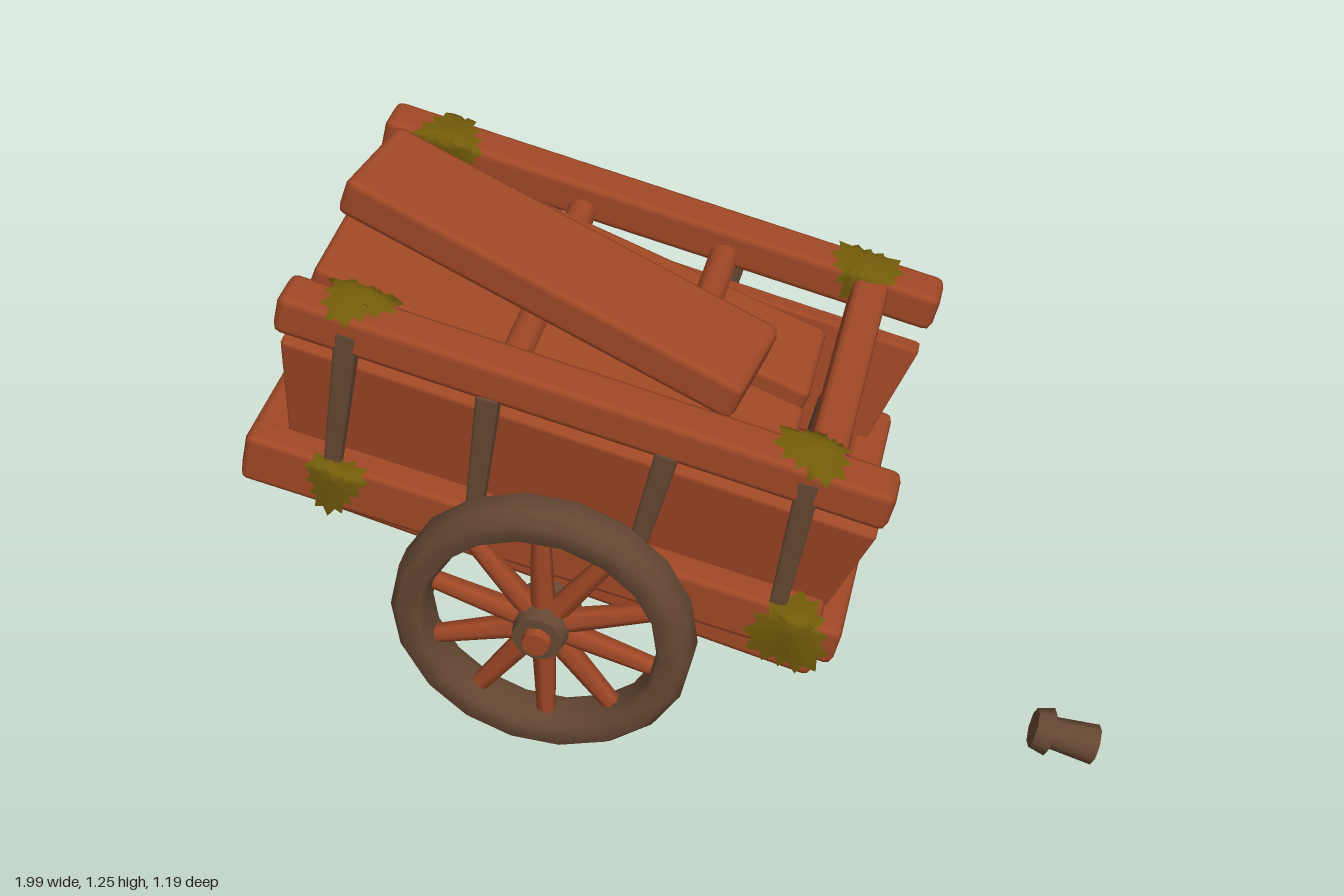
import * as THREE from 'three';
import { RoundedBoxGeometry } from 'three/addons/geometries/RoundedBoxGeometry.js';

export function createModel() {
  const wood = new THREE.MeshStandardMaterial({ color: 0xa04826 });
  wood.name = 'red brown wood';
  const oak = new THREE.MeshStandardMaterial({ color: 0x664833 });
  oak.name = 'dark weathered wood';
  const mossGreen = new THREE.MeshStandardMaterial({ color: 0x735c0a, side: THREE.DoubleSide });
  mossGreen.name = 'olive moss';

  const root = new THREE.Group();
  root.name = 'brokenCart';

  // The cart is turned and nose-down about the middle of its axle
  const cart = new THREE.Group();
  cart.name = 'cart';
  cart.position.set(-0.19, 0.362, -0.02);
  cart.rotation.set(0, -0.23, -0.23, 'YXZ');
  root.add(cart);

  function add(parent, name, geometry, material) {
    const m = new THREE.Mesh(geometry, material);
    m.name = name;
    parent.add(m);
    return m;
  }

  // Chamfered timber running from a to b; h is its height and w its width
  function beam(name, a, b, h, w, material = wood, bevel = 0.2) {
    const p = new THREE.Vector3(...a), q = new THREE.Vector3(...b);
    const x = q.clone().sub(p), length = x.length();
    x.normalize();
    const ref = Math.abs(x.y) > 0.8 ? new THREE.Vector3(-1, 0, 0) : new THREE.Vector3(0, 1, 0);
    const z = x.clone().cross(ref).normalize(), y = z.clone().cross(x);
    const geo = new RoundedBoxGeometry(length, h, w, 1, Math.min(h, w) * bevel);
    const m = add(cart, name, geo, material);
    m.quaternion.setFromRotationMatrix(new THREE.Matrix4().makeBasis(x, y, z));
    m.position.copy(p).add(q).multiplyScalar(0.5);
    return m;
  }

  // Moves every vertex of a mesh by a rule
  function reshape(mesh, rule) {
    const pos = mesh.geometry.attributes.position, v = new THREE.Vector3();
    for (let i = 0; i < pos.count; i++) {
      rule(v.fromBufferAttribute(pos, i));
      pos.setXYZ(i, v.x, v.y, v.z);
    }
  }

  // Rails, chassis beams, flared side boards and posts on both sides
  for (const s of [1, -1]) {
    const railZ = 0.385 * s - 0.01;
    beam('upperRail', [-0.745, 0.59, railZ], [0.66, 0.577, railZ], 0.1, 0.11);
    beam('lowerRail', [-0.77, 0.15, 0.375 * s], [0.6, 0.155, 0.375 * s], 0.13, 0.085);
    beam('chassisBeam', [-0.74, 0.11, 0.33 * s], [0.625, 0.053, 0.33 * s], 0.11, 0.1);
    const board = beam('sideBoard', [-0.71, 0.33, 0.335 * s], [0.625, 0.315, 0.335 * s], 0.32, 0.055);
    board.rotateX(0.13 * s);
    // Board ends lean outward toward the top
    reshape(board, v => { v.x *= 1 + v.y * 0.25; });
    // Each post: foot x, top x and top height
    for (const [foot, x, top] of [[-0.56, -0.58, 0.6], [-0.22, -0.25, 0.55], [0.15, 0.16, 0.55], [0.5, 0.47, 0.6]]) {
      const post = beam('sidePost', [foot, 0.15, 0.4 * s], [x, top, 0.41 * s], 0.05, 0.04, oak);
      // Posts thin toward the foot
      reshape(post, v => {
        const k = 0.92 + v.x * 0.8;
        v.y *= k;
        v.z *= k;
      });
    }
  }

  // Floor, end boards and cross timbers
  beam('floor', [-0.7, 0.13, 0], [0.6, 0.13, 0], 0.05, 0.66);
  beam('frontBoard', [0.49, 0.2, 0], [0.5, 0.54, 0], 0.05, 0.66);
  beam('backBoard', [-0.62, 0.16, 0], [-0.69, 0.55, 0], 0.05, 0.64);
  beam('upperCrossbar', [0.49, 0.57, -0.41], [0.49, 0.57, 0.4], 0.12, 0.085);
  beam('lowerCrossbar', [0.61, 0.15, -0.425], [0.61, 0.15, 0.425], 0.105, 0.09);
  beam('backCrossbar', [-0.715, 0.15, -0.41], [-0.715, 0.15, 0.41], 0.125, 0.12);
  for (const [x, end] of [[-0.23, 0.38], [0.13, 0.1]]) {
    const rod = add(cart, 'crossRod', new THREE.CylinderGeometry(0.036, 0.036, 0.38 + end, 10), wood);
    rod.rotation.x = Math.PI / 2;
    rod.position.set(x, 0.56, (end - 0.38) / 2);
  }

  // Loose planks on top of the load bed
  beam('loosePlank', [-0.69, 0.62, -0.14], [0.42, 0.45, -0.15], 0.08, 0.27);
  beam('loosePlank', [-0.71, 0.61, 0.155], [0.42, 0.43, 0.14], 0.07, 0.28);
  beam('topPlank', [-0.7, 0.71, -0.035], [0.29, 0.585, 0.1], 0.1, 0.28);

  // Patches on the front board
  beam('largePatch', [0.5, 0.255, -0.3], [0.5, 0.255, -0.05], 0.165, 0.09, oak, 0.4);
  beam('smallPatch', [0.495, 0.215, 0.04], [0.495, 0.225, 0.16], 0.075, 0.07, oak, 0.3);

  // Wheels on short axle stubs; the rim is a chamfered band
  const profile = [[0.285, -0.055], [0.335, -0.055], [0.356, -0.03], [0.356, 0.03], [0.335, 0.055],
    [0.285, 0.055], [0.272, 0.03], [0.272, -0.03], [0.285, -0.055]].map(p => new THREE.Vector2(...p));
  const rimGeo = new THREE.LatheGeometry(profile, 18).rotateX(Math.PI / 2);
  const spokeGeo = new THREE.CylinderGeometry(0.022, 0.03, 0.25, 6).translate(0, 0.17, 0);
  const hubGeo = new THREE.CylinderGeometry(0.06, 0.078, 0.12, 12).rotateX(Math.PI / 2);
  const capGeo = new THREE.CylinderGeometry(0.032, 0.04, 0.04, 8).rotateX(Math.PI / 2).translate(0, 0, 0.06);
  const stubGeo = new THREE.CylinderGeometry(0.045, 0.045, 0.16, 10).rotateX(Math.PI / 2).translate(0, 0, -0.1);
  for (const s of [1, -1]) {
    const wheel = new THREE.Group();
    wheel.name = 'wheel';
    wheel.position.z = s > 0 ? 0.472 : -0.462;
    if (s < 0) wheel.rotation.y = Math.PI;
    cart.add(wheel);
    add(wheel, 'rim', rimGeo, oak);
    add(wheel, 'hub', hubGeo, oak);
    add(wheel, 'axleCap', capGeo, wood);
    add(wheel, 'axleStub', stubGeo, wood);
    for (let i = 0; i < 10; i++) {
      add(wheel, 'spoke', spokeGeo, wood).rotation.z = (i + 0.35) * Math.PI / 5;
    }
  }

  // Ragged moss disc folded over the top edges of a rail (half width h)
  function moss(x, y, z, h, shift, radius, seed) {
    const rings = 6, sectors = 28, verts = [], index = [];
    for (let r = 0; r <= rings; r++) {
      for (let i = 0; i < sectors; i++) {
        const t = i / sectors * Math.PI * 2;
        const ragged = 1 + 0.15 * Math.sin(t * 3 + seed) + (i % 2 ? 0.13 : -0.13);
        const d = radius * r / rings * (r > 3 ? ragged : 1);
        const a = Math.cos(t) * d * 0.88, b = Math.sin(t) * d * 1.15 + shift;
        const lift = 0.006 + 0.016 * (1 - r / rings);
        const over = Math.max(0, Math.abs(b) - h);
        const across = over > 0 ? Math.sign(b) * (h + lift) : b;
        verts.push(x + a, y + lift - over, z + across);
      }
    }
    for (let r = 0; r < rings; r++) {
      for (let i = 0; i < sectors; i++) {
        const j = (i + 1) % sectors, p = r * sectors, q = p + sectors;
        index.push(p + i, p + j, q + i, p + j, q + j, q + i);
      }
    }
    const geo = new THREE.BufferGeometry();
    geo.setAttribute('position', new THREE.Float32BufferAttribute(verts, 3));
    geo.setIndex(index);
    geo.computeVertexNormals();
    add(cart, 'moss', geo, mossGreen);
  }
  for (const s of [1, -1]) {
    const railZ = 0.385 * s - 0.01;
    moss(-0.585, 0.638, railZ, 0.058, -0.04 * s, 0.088, 1 + s);
    moss(0.465, 0.629, railZ, 0.058, -0.03 * s, 0.09, 4 + s);
    moss(-0.545, 0.217, 0.385 * s, 0.052, 0.085 * s, 0.073, 2 + s);
    moss(0.54, 0.22, 0.385 * s, 0.052, 0.1 * s, 0.098, 5 + s);
  }

  // Broken-off peg lying on the ground
  const peg = new THREE.Group();
  peg.name = 'fallenPeg';
  peg.position.set(0.915, 0.07, 0.535);
  peg.rotation.set(0, -0.15, Math.PI / 2 - 0.25);
  root.add(peg);
  const shaft = add(peg, 'pegShaft', new THREE.CylinderGeometry(0.036, 0.048, 0.13, 8), oak);
  shaft.position.y = -0.012;
  add(peg, 'pegHead', new THREE.CylinderGeometry(0.047, 0.057, 0.04, 8), oak).position.y = 0.055;

  return root;
}
